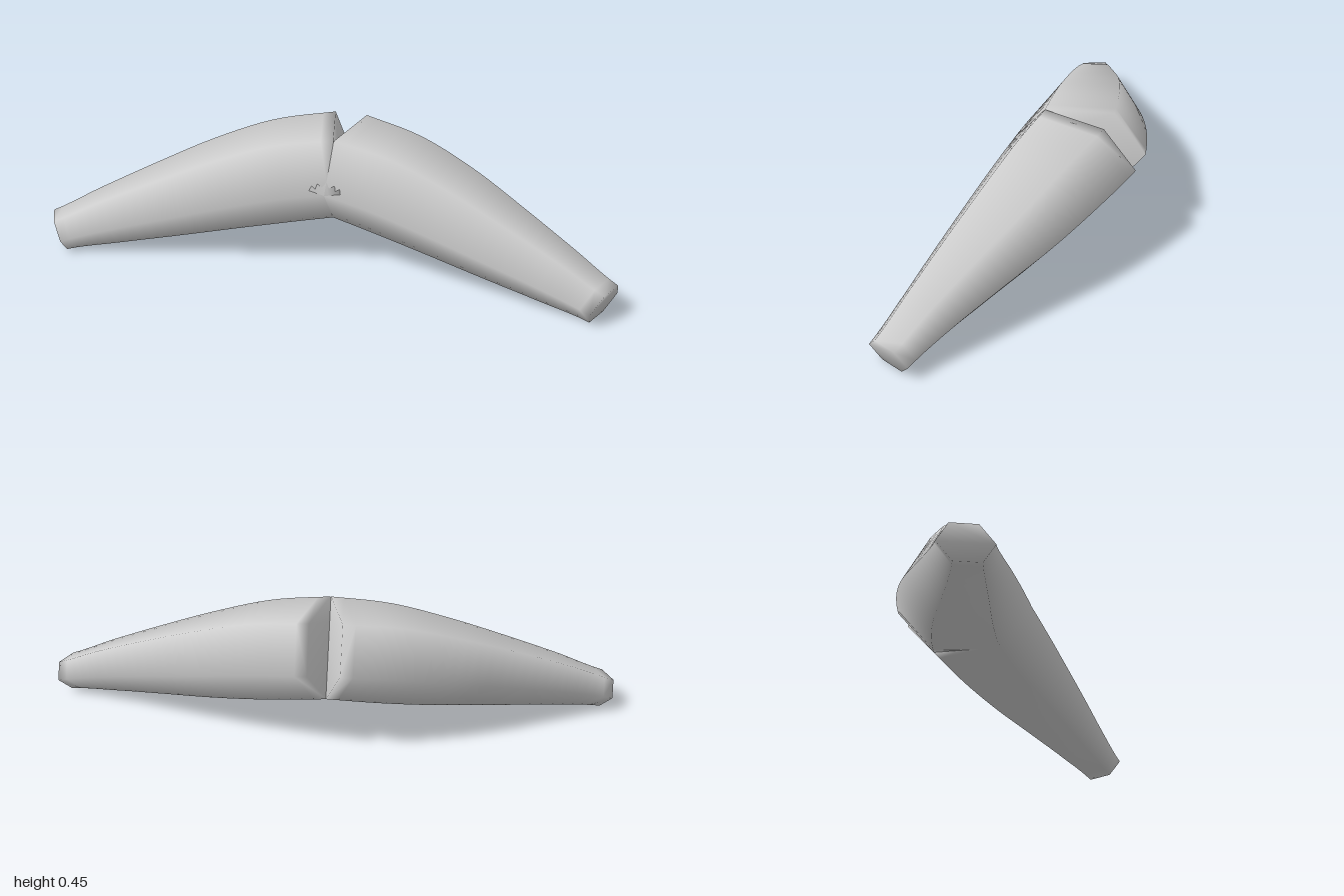
import * as THREE from 'three';

const SIDES = 6, STEPS = 24;

// Per station along the arm: centre x, back z, front z, top y, bottom y
const STATIONS = [
  [0.0, -0.295, 0.168, 0.45, 0.17],
  [0.2, -0.235, 0.19, 0.418, 0.135],
  [0.4, -0.152, 0.215, 0.352, 0.1],
  [0.6, -0.048, 0.242, 0.27, 0.065],
  [0.8, 0.055, 0.268, 0.183, 0.03],
  [0.965, 0.13, 0.296, 0.105, 0.0],
];
const centreLine = new THREE.CatmullRomCurve3(STATIONS.map(([x, b, f, t, u]) =>
  new THREE.Vector3(x, (t + u) / 2, (b + f) / 2)));
const halfSizes = new THREE.SplineCurve(STATIONS.map(([, b, f, t, u]) =>
  new THREE.Vector2((f - b) / 2, (t - u) / 2)));

// Tapered six-sided arm with closed ends; side is +1 or -1
function armGeometry(side) {
  const positions = [], index = [];
  const tri = (a, b, c) => (side > 0 ? index.push(a, b, c) : index.push(a, c, b));
  for (let i = 0; i <= STEPS; i++) {
    const t = i / STEPS;
    const c = centreLine.getPoint(t), h = halfSizes.getPoint(t);
    // Sections lean square to the sloping arm
    const leanZ = THREE.MathUtils.lerp(-0.237, -0.42, t);
    const leanY = THREE.MathUtils.lerp(0.207, 0.4, t);
    for (let j = 0; j < SIDES; j++) {
      const a = (j / SIDES) * Math.PI * 2;
      const dz = h.x * Math.cos(a);
      const dy = h.y * Math.sin(a) / Math.sin(Math.PI / 3);
      positions.push(side * (c.x + leanZ * dz + leanY * dy), c.y + dy, c.z + dz);
    }
  }
  for (let i = 0; i < STEPS; i++) {
    for (let j = 0; j < SIDES; j++) {
      const a = i * SIDES + j, b = i * SIDES + (j + 1) % SIDES;
      tri(a, a + SIDES, b);
      tri(b, a + SIDES, b + SIDES);
    }
  }
  // End caps share the rim vertices so the shading rolls over the edge
  const end = STEPS * SIDES;
  for (let j = 1; j < SIDES - 1; j++) {
    tri(0, j, j + 1);
    tri(end, end + j + 1, end + j);
  }
  const geometry = new THREE.BufferGeometry();
  geometry.setAttribute('position', new THREE.Float32BufferAttribute(positions, 3));
  geometry.setIndex(index);
  geometry.computeVertexNormals();
  return geometry;
}

export function createModel() {
  const group = new THREE.Group();
  group.name = 'curvedPair';
  const grey = new THREE.MeshStandardMaterial({ color: 0xcccccc });
  grey.name = 'lightGrey';
  for (const side of [1, -1]) {
    const arm = new THREE.Mesh(armGeometry(side), grey);
    arm.name = side > 0 ? 'leftArm' : 'rightArm';
    group.add(arm);
  }
  return group;
}
